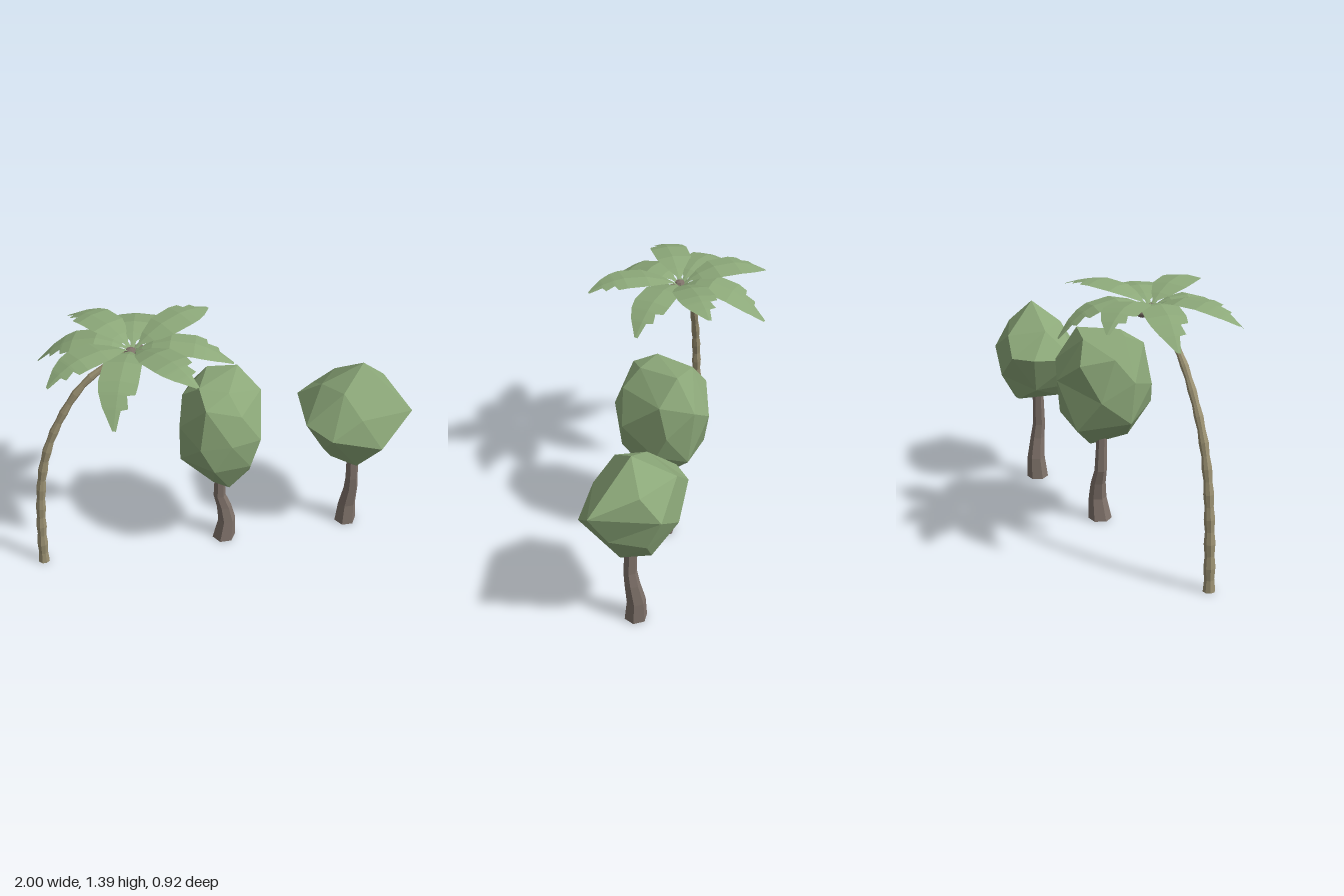
import * as THREE from 'three';
import { ConvexGeometry } from 'three/addons/geometries/ConvexGeometry.js';

const leafGreen = new THREE.MeshStandardMaterial({ color: 0x8ca879 });
leafGreen.name = 'leaf green';
const frondGreen = new THREE.MeshStandardMaterial({ color: 0x8ca879, side: THREE.DoubleSide });
frondGreen.name = 'frond green';
const barkBrown = new THREE.MeshStandardMaterial({ color: 0x7f726a });
barkBrown.name = 'bark brown';
const palmBark = new THREE.MeshStandardMaterial({ color: 0x9c9273 });
palmBark.name = 'palm bark';

function part(name, geometry, material) {
  const mesh = new THREE.Mesh(geometry, material);
  mesh.name = name;
  return mesh;
}

// Faceted geometry from vertices and triangle indices
function faceted(positions, index) {
  const g = new THREE.BufferGeometry();
  g.setAttribute('position', new THREE.Float32BufferAttribute(positions, 3));
  g.setIndex(index);
  const flat = g.toNonIndexed();
  flat.computeVertexNormals();
  return flat;
}

// Tube through rings of { p, r, t }: centre, radius and axis
function loft(rings, sides) {
  const pos = [], idx = [], up = new THREE.Vector3(0, 1, 0);
  for (const { p, r, t } of rings) {
    const q = new THREE.Quaternion().setFromUnitVectors(up, t);
    for (let i = 0; i < sides; i++) {
      const a = (i + 0.5) / sides * Math.PI * 2;
      const v = new THREE.Vector3(Math.sin(a) * r, 0, Math.cos(a) * r).applyQuaternion(q).add(p);
      pos.push(v.x, v.y, v.z);
    }
  }
  for (let k = 0; k < rings.length - 1; k++) {
    for (let i = 0; i < sides; i++) {
      const a = k * sides + i, b = k * sides + (i + 1) % sides;
      idx.push(a, b, b + sides, a, b + sides, a + sides);
    }
  }
  const last = (rings.length - 1) * sides;
  for (let i = 1; i < sides - 1; i++) {
    idx.push(0, i + 1, i, last, last + i, last + i + 1);
  }
  return faceted(pos, idx);
}

// Crown surface: points joined by their directions from the centre, so hollows stay
function crownGeometry(center, crown) {
  const offsets = crown.map((c) => new THREE.Vector3(...c).sub(center));
  const directions = offsets.map((o) => o.clone().normalize());
  const g = new ConvexGeometry(directions);
  const pos = g.attributes.position, v = new THREE.Vector3();
  for (let i = 0; i < pos.count; i++) {
    v.fromBufferAttribute(pos, i);
    let best = 0;
    directions.forEach((d, k) => { if (d.dot(v) > directions[best].dot(v)) best = k; });
    v.copy(offsets[best]).add(center);
    pos.setXYZ(i, v.x, v.y, v.z);
  }
  g.computeVertexNormals();
  return g;
}

// Broadleaf tree: bent trunk and faceted crown
function broadleafTree(name, trunk, center, crown) {
  const tree = new THREE.Group();
  tree.name = name;
  const up = new THREE.Vector3(0, 1, 0);
  const rings = trunk.map(([x, y, z, r]) => ({ p: new THREE.Vector3(x, y, z), r, t: up }));
  tree.add(part('trunk', loft(rings, 6), barkBrown));
  tree.add(part('crown', crownGeometry(new THREE.Vector3(...center), crown), leafGreen));
  return tree;
}

// Frond outline: [distance along, smooth side width, torn side width]
const OUTLINE = [
  [0, 0.008, 0.008], [0.1, 0.016, 0.012], [0.2, 0.062, 0.045], [0.38, 0.102, 0.085],
  [0.62, 0.106, 0.09], [0.72, 0.096, 0.084], [0.74, 0.092, 0.045], [0.84, 0.068, 0.058],
  [0.86, 0.06, 0.024], [1, 0.006, 0.012],
];

function frondGeometry(angle, length, tipY) {
  const pos = [], idx = [];
  const c = Math.cos(angle), s = Math.sin(angle);
  const baseY = 1.285, rise = 0.335;
  OUTLINE.forEach(([u, smooth, torn]) => {
    const y = baseY + rise * u + (tipY - baseY - rise) * u * u;
    for (const w of [-torn, 0, smooth]) {
      pos.push(c * u * length - s * w, y - Math.abs(w) * 0.12, s * u * length + c * w);
    }
  });
  for (let k = 0; k < OUTLINE.length - 1; k++) {
    for (const a of [k * 3, k * 3 + 1]) {
      idx.push(a, a + 1, a + 4, a, a + 4, a + 3);
    }
  }
  return faceted(pos, idx);
}

function palmTree() {
  const palm = new THREE.Group();
  palm.name = 'palmTree';

  // Trunk with a flared joint at each segment
  const path = new THREE.CatmullRomCurve3([
    [-0.968, 0], [-0.964, 0.2], [-0.953, 0.4], [-0.928, 0.6], [-0.872, 0.8],
    [-0.772, 1.0], [-0.69, 1.115], [-0.6, 1.195], [-0.43, 1.295],
  ].map(([x, y]) => new THREE.Vector3(x, y, 0)));
  const rings = [], segments = 12;
  for (let i = 0; i <= segments * 2; i++) {
    const u = i / (segments * 2);
    const r = (0.029 - 0.013 * u) * (i % 2 ? 0.88 : 1.08);
    rings.push({ p: path.getPointAt(u), r, t: path.getTangentAt(u) });
  }
  palm.add(part('palmTrunk', loft(rings, 8), palmBark));

  // Fronds: angle in degrees, length, tip height
  const fronds = [
    [16, 0.5, 1.24], [61, 0.5, 1.33], [110, 0.48, 1.15], [155, 0.49, 1.27],
    [198, 0.48, 1.2], [237, 0.49, 1.28], [282, 0.47, 1.18], [332, 0.48, 1.35],
  ];
  for (const [deg, length, tipY] of fronds) {
    const frond = part('frond', frondGeometry(deg * Math.PI / 180, length, tipY), frondGreen);
    frond.position.x = -0.43;
    palm.add(frond);
  }

  // Coconuts under the fronds
  for (const [x, y, z] of [[-0.395, 1.268, -0.02], [-0.4, 1.268, 0.034], [-0.44, 1.275, 0.008]]) {
    const nut = part('coconut', new THREE.SphereGeometry(0.037, 7, 5).toNonIndexed(), barkBrown);
    nut.geometry.computeVertexNormals();
    nut.position.set(x, y, z);
    palm.add(nut);
  }
  return palm;
}

export function createModel() {
  const model = new THREE.Group();
  model.name = 'trees';
  model.add(palmTree());

  model.add(broadleafTree('middleTree',
    [[0.032, 0, 0, 0.063], [0.05, 0.12, -0.005, 0.048], [0.035, 0.21, -0.01, 0.04],
      [0.01, 0.29, -0.01, 0.033], [0.012, 0.55, 0, 0.025]],
    [0.015, 0.76, 0],
    [[-0.11, 1.055, 0.06], [0.03, 1.05, 0.12], [0.12, 1.072, -0.09], [-0.03, 1.05, -0.14],
      [-0.18, 0.96, -0.04], [-0.1, 1.0, 0.185], [0.08, 0.95, 0.2], [0.23, 0.95, -0.02],
      [0.17, 0.9, -0.19], [-0.1, 0.93, -0.2], [-0.215, 0.83, 0.06], [-0.135, 0.78, 0.215],
      [0.02, 0.81, 0.26], [0.185, 0.78, 0.185], [0.242, 0.77, -0.06], [0.06, 0.82, -0.245],
      [-0.18, 0.74, -0.12], [-0.21, 0.61, 0.04], [-0.07, 0.66, 0.255], [0.13, 0.63, 0.2],
      [0.23, 0.64, 0], [0.18, 0.6, -0.16], [-0.07, 0.57, -0.2], [-0.05, 0.49, 0.12],
      [0.03, 0.46, 0.145], [0.165, 0.47, 0.03], [0.05, 0.435, -0.05]]));

  model.add(broadleafTree('rightTree',
    [[0.732, 0, 0, 0.06], [0.738, 0.12, -0.005, 0.05], [0.748, 0.24, 0.012, 0.04],
      [0.746, 0.32, 0.022, 0.035], [0.74, 0.55, 0.015, 0.03]],
    [0.72, 0.76, 0],
    [[0.77, 1.055, 0], [0.56, 0.93, -0.03], [0.64, 0.95, 0.11], [0.91, 0.92, -0.07],
      [0.68, 0.9, -0.2], [0.57, 0.8, -0.235], [0.465, 0.8, -0.155], [0.45, 0.77, 0.1],
      [0.56, 0.73, 0.22], [0.72, 0.83, 0.2], [1.0, 0.83, 0.16], [0.9, 0.78, -0.17],
      [0.82, 0.67, 0.255], [0.93, 0.65, 0.08], [0.9, 0.62, -0.1], [0.73, 0.66, -0.22],
      [0.55, 0.6, -0.1], [0.55, 0.6, 0.1], [0.6, 0.53, 0.08], [0.68, 0.52, -0.14],
      [0.73, 0.48, 0.13], [0.83, 0.475, 0.05], [0.8, 0.49, -0.1]]));
  return model;
}
